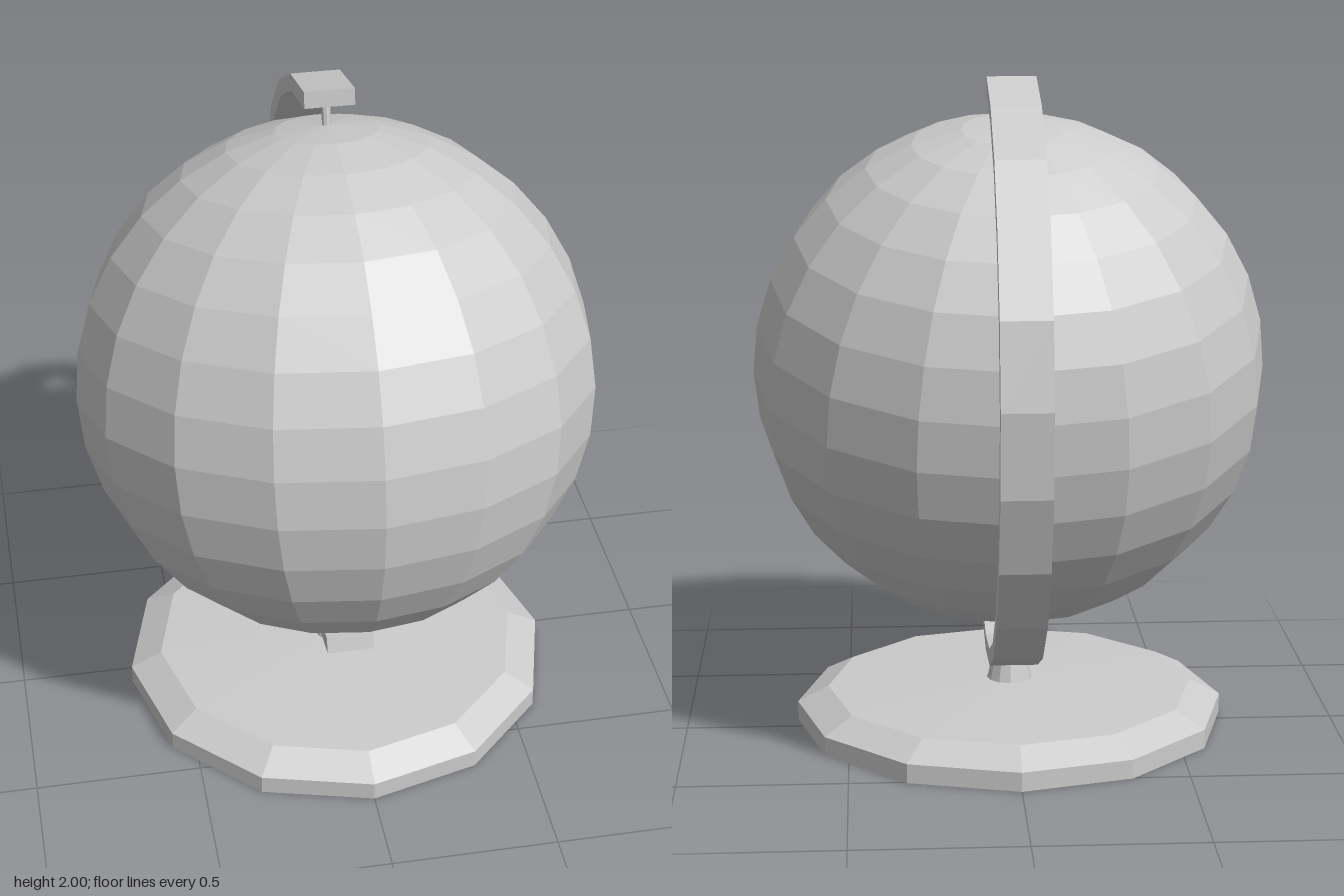
import * as THREE from 'three';

const CENTER = [0, 1.11, 0.065];
const TILT = THREE.MathUtils.degToRad(12);

export function createModel() {
  const model = new THREE.Group();
  model.name = 'deskGlobe';
  const material = new THREE.MeshStandardMaterial({ color: 0xcccccc, flatShading: true });
  const add = (parent, name, geometry) => {
    const mesh = new THREE.Mesh(geometry, material);
    mesh.name = name;
    parent.add(mesh);
    return mesh;
  };

  // Twelve-sided foot with bevelled rim and short tapering neck
  const profile = [[0, 0], [0.66, 0], [0.66, 0.058], [0.565, 0.107], [0.07, 0.128], [0.046, 0.225], [0, 0.225]];
  const base = add(model, 'base', new THREE.LatheGeometry(profile.map(p => new THREE.Vector2(...p)), 12));
  base.position.z = CENTER[2];

  // Everything on the tilted axis
  const tilted = new THREE.Group();
  tilted.name = 'tiltedAssembly';
  tilted.position.set(...CENTER);
  tilted.rotation.x = -TILT;
  model.add(tilted);

  add(tilted, 'ball', new THREE.SphereGeometry(0.775, 16, 16));

  // Axis pins at both poles
  for (const [name, side] of [['topPin', 1], ['bottomPin', -1]]) {
    add(tilted, name, new THREE.CylinderGeometry(0.013, 0.013, 0.11, 8)).position.y = side * 0.81;
  }

  // Flat band curving round the back, slightly past each pole
  const steps = 12, overhang = THREE.MathUtils.degToRad(5);
  const arc = r => Array.from({ length: steps + 1 }, (_, i) => {
    const a = -overhang + (Math.PI + 2 * overhang) * i / steps;
    return new THREE.Vector2(r * Math.sin(a), r * Math.cos(a));
  });
  const shape = new THREE.Shape([...arc(0.9), ...arc(0.85).reverse()]);
  const width = 0.146;
  const bandGeometry = new THREE.ExtrudeGeometry(shape, { depth: width, bevelEnabled: false });
  bandGeometry.translate(0, 0, -width / 2).rotateY(Math.PI / 2);
  add(tilted, 'supportArm', bandGeometry);

  return model;
}
